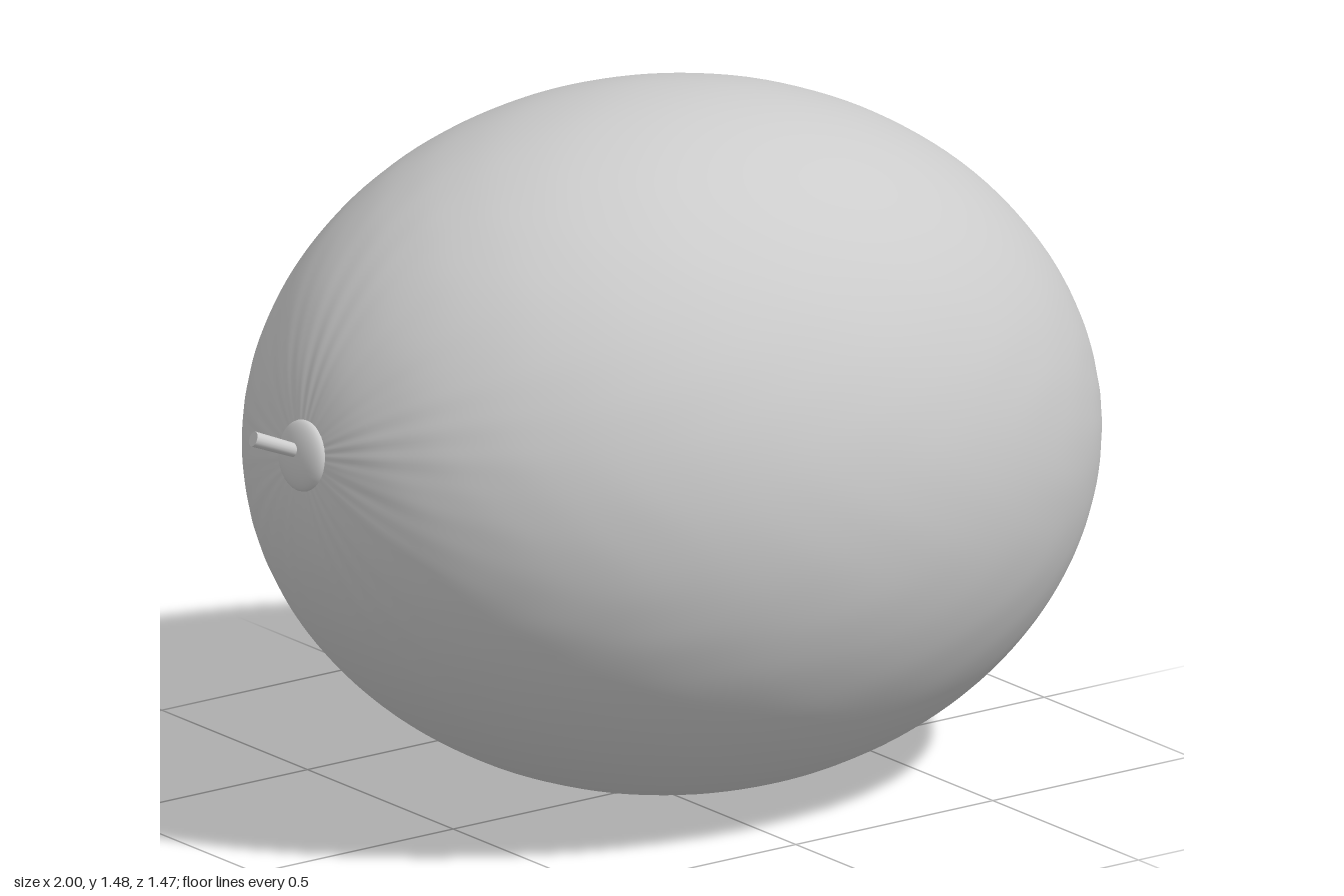
import * as THREE from 'three';
import { mergeVertices } from 'three/addons/utils/BufferGeometryUtils.js';

const material = new THREE.MeshStandardMaterial({ color: 0xcccccc });
const LENGTH = 0.949, RADIUS = 0.737; // semi-axes of the fruit

function addMesh(parent, name, geometry) {
  const mesh = new THREE.Mesh(geometry, material);
  mesh.name = name;
  parent.add(mesh);
  return mesh;
}

// Ellipsoid along x, with faint creases running out from both poles and a softly uneven skin
function rindGeometry() {
  let geo = new THREE.SphereGeometry(1, 192, 96);
  geo.rotateZ(Math.PI / 2);
  geo.deleteAttribute('uv');
  geo.deleteAttribute('normal');
  geo = mergeVertices(geo, 1e-5);
  const pos = geo.attributes.position;
  const p = new THREE.Vector3();
  for (let i = 0; i < pos.count; i++) {
    p.fromBufferAttribute(pos, i);
    const angle = Math.atan2(p.z, p.y);
    const r = Math.hypot(p.y, p.z); // 0 at the poles, 1 at the middle
    const creases = Math.sin(angle * 23 + 2 * Math.sin(angle * 5)) + 0.6 * Math.sin(angle * 37 + 1.3);
    const fade = r * Math.exp(-r * r * 6);
    const skin = Math.sin(p.x * 17 + 2 * Math.sin(p.y * 9)) * Math.sin(p.y * 15 + p.z * 6) * Math.sin(p.z * 16 + 1);
    p.multiplyScalar(1 + 0.003 * creases * fade + 0.0008 * skin);
    pos.setXYZ(i, p.x * LENGTH, p.y * RADIUS, p.z * RADIUS);
  }
  geo.computeVertexNormals();
  return geo;
}

export function createModel() {
  const model = new THREE.Group();
  model.name = 'melon';

  // Fruit body, tipped so that the stem end sits higher
  const fruit = new THREE.Group();
  fruit.name = 'fruit';
  fruit.position.set(0.055, 0.742, 0);
  fruit.rotation.z = -0.138;
  model.add(fruit);
  addMesh(fruit, 'rind', rindGeometry());

  // Flattened button at the stem end
  const button = addMesh(fruit, 'stemButton', new THREE.SphereGeometry(1, 32, 20).rotateZ(Math.PI / 2));
  button.scale.set(0.027, 0.074, 0.074);
  button.position.x = -LENGTH + 0.003;

  // Short cut stem
  const start = new THREE.Vector3(-0.88, 0.878, 0.003);
  const end = new THREE.Vector3(-0.994, 0.924, -0.018);
  const dir = end.clone().sub(start);
  const stem = addMesh(model, 'stem', new THREE.CylinderGeometry(0.016, 0.014, dir.length(), 16));
  stem.position.copy(start).add(end).multiplyScalar(0.5);
  stem.quaternion.setFromUnitVectors(new THREE.Vector3(0, 1, 0), dir.normalize());

  return model;
}
